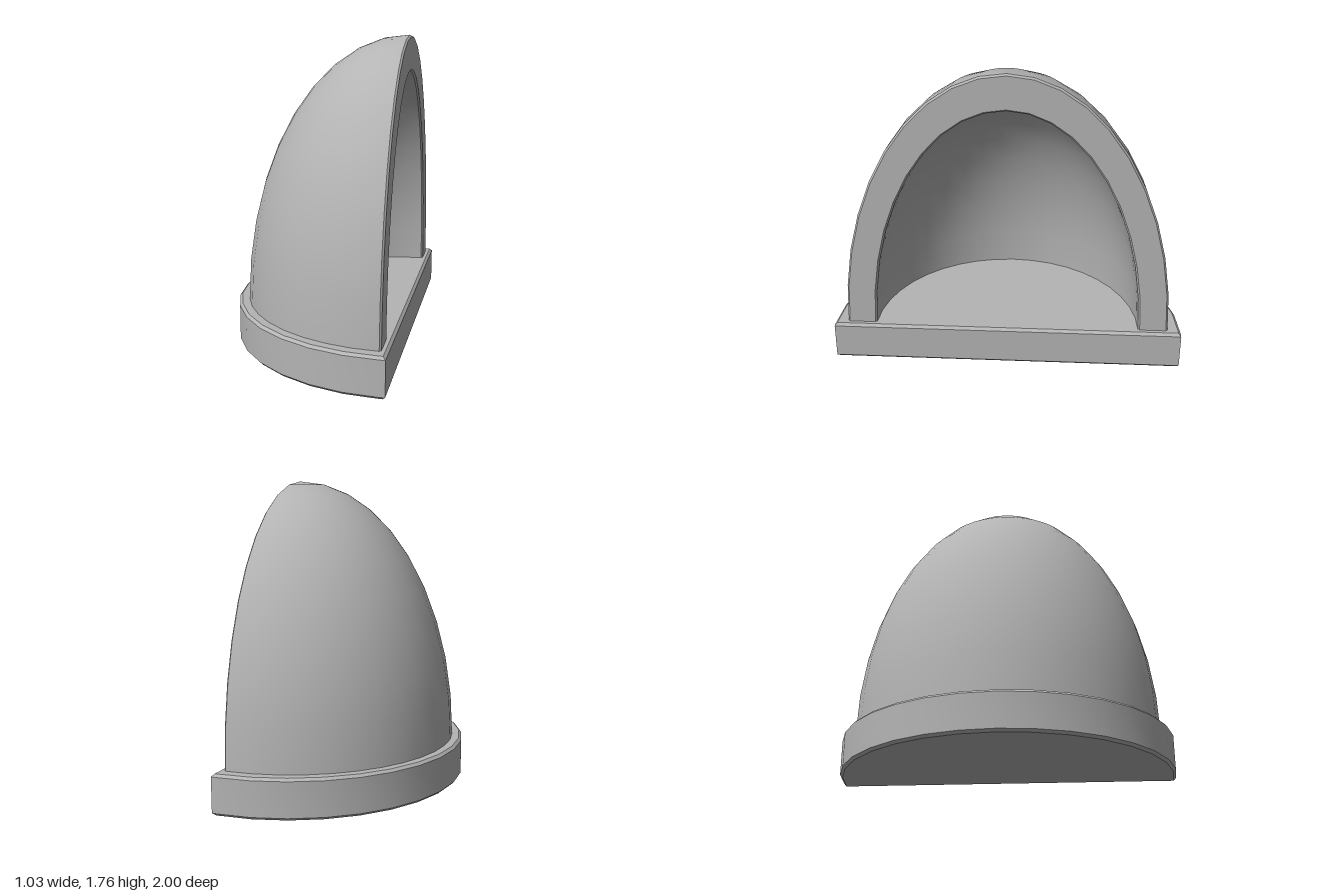
import * as THREE from 'three';
import { toCreasedNormals } from 'three/addons/utils/BufferGeometryUtils.js';

const BASE_TOP = 0.23;
const RIM_X = 0.48, BEVEL = 0.01;
const SEGMENTS = 20; // steps along the half arch
const OUTER = { r: 0.925, h: 1.53 };
const INNER = { r: 0.755, h: 1.325 };

// Half-disc plinth with a small chamfer
function plinthGeometry() {
  const cx = 0.485, front = 0.515, c = 0.015, height = BASE_TOP;
  const r = 1 - c;
  const shape = new THREE.Shape();
  shape.moveTo(front - c, -r);
  shape.lineTo(front - c, r);
  for (let i = 0; i <= 16; i++) {
    const a = Math.PI / 2 + (i / 16) * Math.PI;
    shape.lineTo(cx + r * Math.cos(a), r * Math.sin(a));
  }
  const geo = new THREE.ExtrudeGeometry(shape, {
    depth: height - 2 * c, bevelEnabled: true, bevelThickness: c, bevelSize: c, bevelSegments: 1,
  });
  geo.rotateX(-Math.PI / 2).translate(0, c, 0);
  return toCreasedNormals(geo, 0.4);
}

// Half of an elliptical dome behind the rim plane; inward flips the facing
function shellGeometry({ r, h }, inward) {
  const points = [];
  const n = SEGMENTS / 2;
  for (let i = 0; i <= n; i++) {
    const a = (i / n) * Math.PI / 2;
    points.push(new THREE.Vector2(i === n ? 0 : r * Math.cos(a), h * Math.sin(a)));
  }
  if (inward) points.reverse();
  const geo = new THREE.LatheGeometry(points, SEGMENTS, Math.PI, Math.PI);
  return geo.translate(RIM_X - BEVEL, BASE_TOP, 0);
}

// Arched rim: outer chamfer, flat face and inner chamfer
function rimGeometry() {
  const rows = [
    [RIM_X - BEVEL, OUTER, 0],
    [RIM_X, OUTER, -BEVEL],
    [RIM_X, INNER, BEVEL],
    [RIM_X - BEVEL, INNER, 0],
  ];
  const point = ([x, e, grow], i) => {
    const t = (i / SEGMENTS) * Math.PI;
    return [x, BASE_TOP + (e.h + grow) * Math.sin(t), (e.r + grow) * Math.cos(t)];
  };
  const pos = [];
  for (let k = 0; k < 3; k++) {
    for (let i = 0; i < SEGMENTS; i++) {
      const o0 = point(rows[k], i), o1 = point(rows[k], i + 1);
      const n0 = point(rows[k + 1], i), n1 = point(rows[k + 1], i + 1);
      pos.push(...n0, ...n1, ...o1, ...n0, ...o1, ...o0);
    }
  }
  const geo = new THREE.BufferGeometry();
  geo.setAttribute('position', new THREE.Float32BufferAttribute(pos, 3));
  return toCreasedNormals(geo, 0.4);
}

export function createModel() {
  const grey = new THREE.MeshStandardMaterial({ color: 0xb4b4b4 });
  grey.name = 'stone grey';
  const group = new THREE.Group();
  group.name = 'halfDomeNiche';

  const add = (name, geometry) => {
    const mesh = new THREE.Mesh(geometry, grey);
    mesh.name = name;
    group.add(mesh);
  };
  add('plinth', plinthGeometry());
  add('outerShell', shellGeometry(OUTER, false));
  add('innerShell', shellGeometry(INNER, true));
  add('archRim', rimGeometry());
  return group;
}
